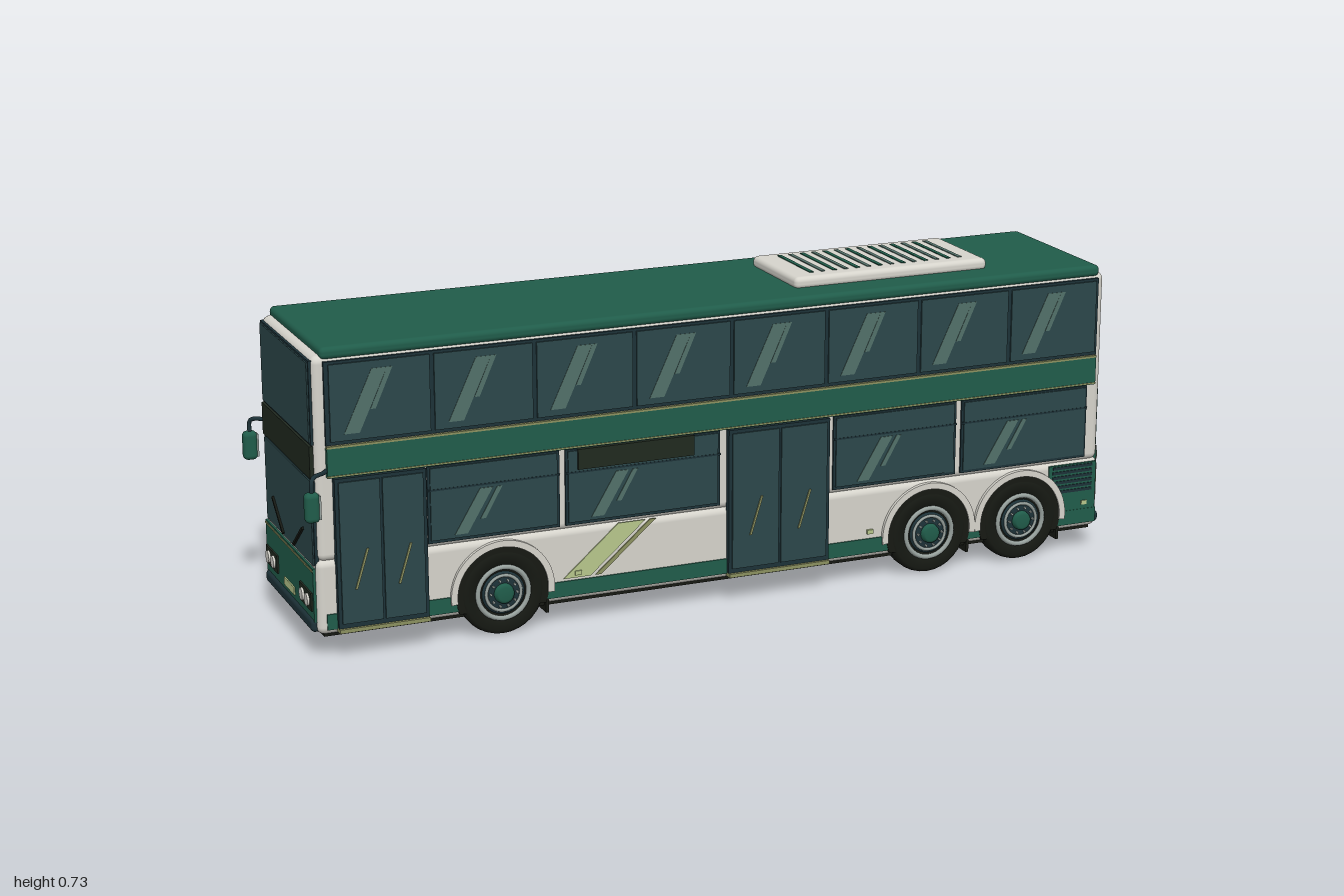
import * as THREE from 'three';
import { RoundedBoxGeometry } from 'three/addons/geometries/RoundedBoxGeometry.js';

const paint = (name, color) => Object.assign(new THREE.MeshStandardMaterial({ color }), { name });

export function createModel() {
  const bus = new THREE.Group();
  bus.name = 'doubleDeckerBus';
  const green = paint('green', 0x205c4a);
  const white = paint('offWhite', 0xd6d4cc);
  const glass = paint('glass', 0x2c474a);
  const frame = paint('darkTeal', 0x1d3238);
  const glint = paint('glassGlint', 0x527069);
  const black = paint('rubberBlack', 0x161913);
  const dark = paint('signBlack', 0x20291f);
  const lime = paint('lime', 0xb7c78c);
  const gold = paint('brassTrim', 0x8c9160);
  const metal = paint('metal', 0x98a29e);

  const add = (name, geo, mat, x = 0, y = 0, z = 0, parent = bus) => {
    const m = new THREE.Mesh(geo, mat);
    m.name = name;
    m.position.set(x, y, z);
    parent.add(m);
    return m;
  };
  // Box given by its limits; r > 0 rounds the edges
  const box = (name, mat, x0, x1, y0, y1, z0, z1, r = 0) => {
    const d = [x1 - x0, y1 - y0, z1 - z0];
    const geo = r ? new RoundedBoxGeometry(...d, 3, r) : new THREE.BoxGeometry(...d);
    return add(name, geo, mat, (x0 + x1) / 2, (y0 + y1) / 2, (z0 + z1) / 2);
  };
  // Plate on side s (+1 or -1), reaching out to z
  const plate = (name, s, mat, x0, x1, y0, y1, z, t = 0.008) =>
    box(name, mat, x0, x1, y0, y1, s > 0 ? z - t : -z, s > 0 ? z : t - z);
  // Flat cut-out on side s
  const cut = (name, s, mat, shape, z, t = 0.003, x = 0, y = 0) =>
    add(name, new THREE.ExtrudeGeometry(shape, { depth: t, bevelEnabled: false, curveSegments: 24 }),
      mat, x, y, s > 0 ? z - t : -z);
  // Slanted stripe, w wide, from (x0, y0) to (x1, y1)
  const slant = (name, s, mat, x0, y0, x1, y1, w, z) => cut(name, s, mat, new THREE.Shape([
    new THREE.Vector2(x0, y0), new THREE.Vector2(x0 + w, y0),
    new THREE.Vector2(x1 + w, y1), new THREE.Vector2(x1, y1)]), z);

  // Body shell and roof
  box('lowerBody', white, -0.965, 0.983, 0.055, 0.228, -0.2, 0.2, 0.018);
  box('upperBody', white, -0.96, 0.98, 0.222, 0.685, -0.198, 0.198, 0.018);
  box('roof', green, -0.94, 0.965, 0.676, 0.703, -0.2, 0.2, 0.011);
  box('underside', black, -0.95, 0.965, 0.05, 0.06, -0.19, 0.19);

  // Roof air conditioner
  box('airConditioner', white, 0.21, 0.705, 0.698, 0.727, -0.122, 0.122, 0.012);
  for (let i = 0; i < 14; i++) {
    const x = 0.262 + i * 0.0295;
    box('roofVent', i % 2 ? glint : green, x, x + 0.01, 0.724, 0.729, -0.092, 0.086);
  }

  // Wheel parts shared by all axles
  const lathe = pts => new THREE.LatheGeometry(pts.map(p => new THREE.Vector2(...p)), 32);
  const tyreGeo = lathe([[0.05, -0.026], [0.09, -0.026], [0.098, -0.02], [0.1, -0.012], [0.1, 0.012],
    [0.098, 0.02], [0.09, 0.026], [0.066, 0.026], [0.062, 0.012], [0, 0.012]]);
  const rimGeo = new THREE.TorusGeometry(0.06, 0.006, 8, 32);
  const discGeo = lathe([[0.05, 0.012], [0.05, 0.025], [0.034, 0.029], [0, 0.029]]);
  const hubGeo = lathe([[0.024, 0.025], [0.022, 0.037], [0.016, 0.04], [0, 0.04]]);
  const well = new THREE.Shape();
  well.absarc(0, 0, 0.109, -0.36, Math.PI + 0.36);
  const arch = new THREE.Shape();
  arch.absarc(0, 0, 0.122, -0.12, Math.PI + 0.12);
  arch.absarc(0, 0, 0.107, Math.PI + 0.12, -0.12, true);
  const axles = [-0.54, 0.523, 0.767];

  const makeWheel = (x, s) => {
    const w = new THREE.Group();
    w.name = 'wheel';
    w.position.set(x, 0.1, s * 0.181);
    w.rotation.x = s * Math.PI / 2;
    add('tyre', tyreGeo, black, 0, 0, 0, w);
    add('rim', rimGeo, metal, 0, 0.025, 0, w).rotation.x = Math.PI / 2;
    add('wheelDisc', discGeo, frame, 0, 0, 0, w);
    add('discRing', new THREE.TorusGeometry(0.041, 0.004, 6, 32), metal, 0, 0.028, 0, w).rotation.x = Math.PI / 2;
    add('hub', hubGeo, green, 0, 0, 0, w);
    for (let i = 0; i < 10; i++) {
      const a = i * Math.PI / 5;
      add('wheelNut', new THREE.CylinderGeometry(0.003, 0.003, 0.006, 6), metal,
        0.031 * Math.cos(a), 0.031, 0.031 * Math.sin(a), w);
    }
    bus.add(w);
  };

  const lowerWindows = {
    1: [[-0.71, -0.402], [-0.388, -0.013], [0.272, 0.59], [0.604, 0.94]],
    '-1': [[-0.93, -0.672], [-0.658, -0.397], [-0.383, -0.052], [-0.038, 0.273], [0.287, 0.549], [0.563, 0.94]],
  };

  for (const s of [1, -1]) {
    // Upper deck windows
    plate('upperWindowFrame', s, frame, -0.935, 0.96, 0.487, 0.673, 0.204);
    for (let i = 0; i < 8; i++) {
      const x = -0.93 + i * 0.236;
      plate('upperWindow', s, glass, x + 0.005, x + 0.231, 0.495, 0.667, 0.208);
      slant('windowGlint', s, glint, x + 0.035, 0.51, x + 0.1, 0.65, 0.035, 0.209);
      slant('windowGlint', s, glint, x + 0.095, 0.56, x + 0.135, 0.65, 0.012, 0.209);
    }
    // Waist band with trim lines
    plate('waistBand', s, green, -0.935, 0.958, 0.415, 0.482, 0.209, 0.014);
    plate('trimLine', s, gold, -0.935, 0.958, 0.481, 0.486, 0.21);
    plate('trimLine', s, gold, -0.935, 0.958, 0.417, 0.42, 0.211);
    // Lower deck windows
    for (const [a, b] of lowerWindows[s]) {
      plate('lowerWindowFrame', s, frame, a, b, 0.235, 0.412, 0.203);
      plate('lowerWindow', s, glass, a + 0.006, b - 0.006, 0.242, 0.408, 0.206);
      plate('windowTransom', s, frame, a, b, 0.356, 0.36, 0.207, 0.004);
      slant('windowGlint', s, glint, a + 0.06, 0.25, a + 0.12, 0.35, 0.03, 0.2075);
      slant('windowGlint', s, glint, a + 0.12, 0.28, a + 0.16, 0.35, 0.012, 0.2075);
    }
    // Skirt, slanted stripes and marker lamps
    plate('skirt', s, green, -0.945, 0.975, 0.068, 0.104, 0.203);
    slant('slantedStripe', s, lime, -0.395, 0.11, -0.262, 0.225, 0.065, 0.203);
    slant('slantedStripe', s, gold, -0.318, 0.11, -0.185, 0.225, 0.014, 0.203);
    for (const x of [-0.36, 0.37]) plate('markerLamp', s, lime, x - 0.008, x + 0.008, 0.116, 0.126, 0.206);
    // Engine bay side grille
    plate('engineSidePanel', s, green, 0.845, 0.973, 0.1, 0.22, 0.202);
    for (let i = 0; i < 6; i++)
      plate('sideGrilleSlat', s, frame, 0.855, 0.962, 0.15 + i * 0.012, 0.157 + i * 0.012, 0.204);
    plate('sideLamp', s, lime, 0.935, 0.95, 0.115, 0.125, 0.205);
    // Wheels, wells, arches and mud flaps
    for (const x of axles) {
      cut('wheelWell', s, black, well, 0.2045, 0.006, x, 0.1);
      cut('wheelArch', s, white, arch, 0.208, 0.01, x, 0.1);
      makeWheel(x, s);
      box('mudFlap', black, x + 0.103, x + 0.11, 0.035, 0.09, s * 0.175 - 0.025, s * 0.175 + 0.025);
    }
    // Door mirror on a bent arm
    const arm = new THREE.CatmullRomCurve3([[-0.93, 0.43, 0.19], [-0.945, 0.432, 0.215], [-0.975, 0.432, 0.24],
      [-0.982, 0.425, 0.248], [-0.983, 0.395, 0.248]].map(([x, y, z]) => new THREE.Vector3(x, y, z * s)));
    add('mirrorArm', new THREE.TubeGeometry(arm, 20, 0.005, 8), frame);
    const zm = s * 0.248;
    box('mirrorCase', green, -1, -0.967, 0.335, 0.402, zm - 0.014, zm + 0.014, 0.011);
    box('mirrorFace', metal, -0.97, -0.965, 0.342, 0.395, zm - 0.01, zm + 0.01);
  }

  // Twin-leaf doors on the kerb side
  for (const [a, b] of [[-0.922, -0.715], [0.005, 0.258]]) {
    const mid = (a + b) / 2;
    box('doorFrame', frame, a, b, 0.07, 0.413, 0.195, 0.213);
    box('doorStep', gold, a, b, 0.062, 0.071, 0.19, 0.22);
    for (const [l, r] of [[a + 0.008, mid - 0.003], [mid + 0.003, b - 0.008]]) {
      plate('doorLeaf', 1, glass, l, r, 0.082, 0.405, 0.217);
      const c = (l + r) / 2;
      slant('doorHandle', 1, gold, c - 0.016, 0.16, c + 0.012, 0.25, 0.005, 0.22);
    }
  }
  plate('sideDestinationSign', 1, dark, -0.36, -0.08, 0.365, 0.412, 0.211);

  // Rear end: window, sign, engine cover and lamps
  const rear = (name, mat, z0, z1, y0, y1, x, t = 0.009) => box(name, mat, x - t, x, y0, y1, z0, z1);
  rear('rearWindowFrame', frame, -0.175, 0.177, 0.493, 0.662, 0.984);
  rear('rearWindow', glass, -0.171, 0.173, 0.498, 0.658, 0.987);
  rear('rearSign', dark, 0.073, 0.168, 0.428, 0.474, 0.986);
  rear('engineCover', green, -0.171, 0.173, 0.085, 0.391, 0.988, 0.012);
  for (let i = 0; i < 10; i++)
    rear('engineVent', frame, -0.112, 0.114, 0.16 + i * 0.0102, 0.166 + i * 0.0102, 0.99, 0.004);
  rear('numberPlate', lime, -0.042, 0.045, 0.097, 0.115, 0.991);
  box('rearBumper', frame, 0.955, 0.995, 0.06, 0.087, -0.185, 0.187, 0.01);
  for (const s of [1, -1]) {
    const z = s * 0.163;
    rear('tailLampStrip', dark, z - 0.01, z + 0.01, 0.12, 0.248, 0.991);
    [white, lime, metal, metal].forEach((m, i) =>
      rear('tailLamp', m, z - 0.007, z + 0.007, 0.124 + i * 0.031, 0.142 + i * 0.031, 0.994));
  }

  // Front end: windscreens, sign, wipers, nose panel and headlamps
  const front = (name, mat, z0, z1, y0, y1, x, t = 0.009) => box(name, mat, -x, t - x, y0, y1, z0, z1);
  front('upperWindscreenFrame', frame, -0.188, 0.188, 0.487, 0.675, 0.964);
  front('upperWindscreen', glass, -0.183, 0.183, 0.492, 0.67, 0.967);
  front('destinationSign', dark, -0.188, 0.188, 0.412, 0.485, 0.968);
  front('lowerWindscreenFrame', frame, -0.188, 0.188, 0.208, 0.41, 0.964);
  front('lowerWindscreen', glass, -0.183, 0.183, 0.213, 0.405, 0.967);
  front('nosePanel', green, -0.188, 0.188, 0.085, 0.208, 0.97);
  box('frontBumper', frame, -0.976, -0.94, 0.06, 0.09, -0.187, 0.187, 0.01);
  front('noseTrim', gold, -0.185, 0.185, 0.2, 0.204, 0.972);
  front('frontNumberPlate', lime, -0.04, 0.04, 0.1, 0.118, 0.973);
  for (const s of [1, -1]) {
    add('wiper', new THREE.BoxGeometry(0.005, 0.1, 0.006), black, -0.97, 0.25, s * 0.08).rotation.x = s * 0.9;
    front('headlampHousing', dark, s * 0.135 - 0.045, s * 0.135 + 0.045, 0.108, 0.15, 0.974);
    for (const dz of [-0.02, 0.02]) {
      add('headlamp', new THREE.CylinderGeometry(0.014, 0.014, 0.008, 20), white,
        -0.975, 0.129, s * 0.135 + dz).rotation.z = Math.PI / 2;
    }
  }
  return bus;
}
